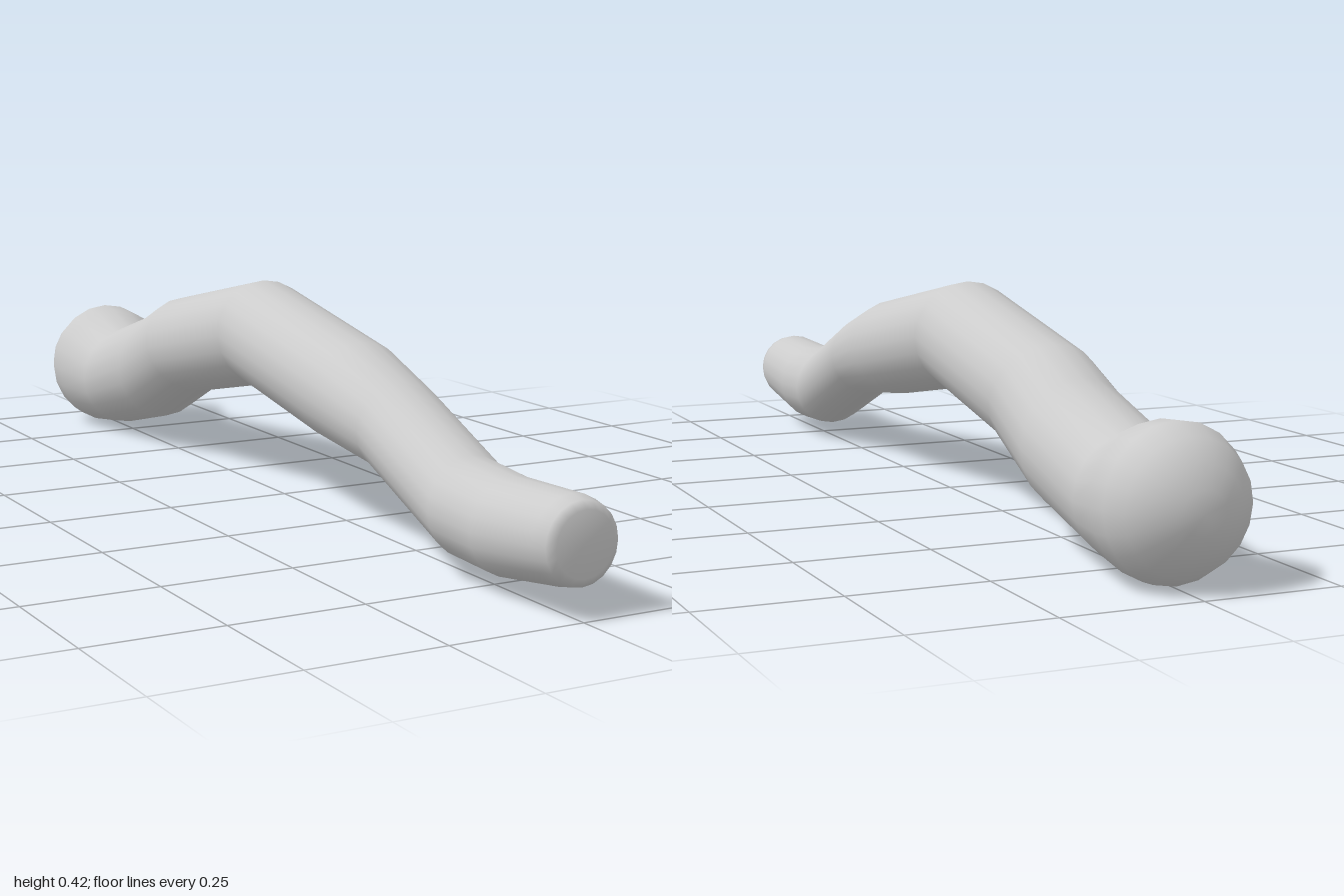
import * as THREE from 'three';

const SIDES = 20;

// Cross-sections from the front tip to the rear knob:
// [top z, top y, bottom z, bottom y, half width]
const SECTIONS = [
  [1.0, 0.13, 1.0, 0.13, 0],
  [1.0, 0.185, 1.0, 0.072, 0.056],
  [0.988, 0.198, 0.992, 0.057, 0.07],
  [0.96, 0.203, 0.965, 0.051, 0.077],
  [0.8, 0.198, 0.8, 0.027, 0.085],
  [0.67, 0.208, 0.687, 0.032, 0.09],
  [0.45, 0.301, 0.43, 0.136, 0.091],
  [0.3, 0.35, 0.238, 0.16, 0.107],
  [-0.088, 0.422, -0.072, 0.214, 0.108],
  [-0.468, 0.342, -0.382, 0.15, 0.108],
  [-0.57, 0.296, -0.565, 0.064, 0.112],
  [-0.767, 0.235, -0.767, 0.016, 0.113],
  [-0.853, 0.267, -0.875, 0.002, 0.131],
  [-0.906, 0.272, -0.91, 0.005, 0.131],
  [-0.95, 0.253, -0.948, 0.025, 0.115],
  [-0.98, 0.216, -0.98, 0.065, 0.08],
  [-0.995, 0.176, -0.995, 0.102, 0.04],
  [-1.0, 0.138, -1.0, 0.138, 0],
];

// Skins elliptical rings spanning each top/bottom pair
function loft(sections, sides) {
  const positions = [];
  const index = [];
  sections.forEach(([tz, ty, bz, by, w], i) => {
    for (let j = 0; j < sides; j++) {
      const a = (j / sides) * Math.PI * 2;
      const t = (1 + Math.cos(a)) / 2;
      positions.push(w * Math.sin(a), by + (ty - by) * t, bz + (tz - bz) * t);
      if (i === sections.length - 1) continue;
      const p = i * sides + j;
      const q = i * sides + ((j + 1) % sides);
      // Skip collapsed triangles at the two poles
      if (i > 0) index.push(p, q, p + sides);
      if (i < sections.length - 2) index.push(q, q + sides, p + sides);
    }
  });
  const geometry = new THREE.BufferGeometry();
  geometry.setAttribute('position', new THREE.Float32BufferAttribute(positions, 3));
  geometry.setIndex(index);
  geometry.computeVertexNormals();
  // Unused or collapsed pole corners share the axis direction
  const normals = geometry.attributes.normal;
  for (let j = 0; j < sides; j++) {
    normals.setXYZ(j, 0, 0, 1);
    normals.setXYZ(normals.count - 1 - j, 0, 0, -1);
  }
  return geometry;
}

export function createModel() {
  const group = new THREE.Group();
  group.name = 'curvedHandle';

  // Arched shaft running into the rounded end knob
  const shaft = new THREE.Mesh(
    loft(SECTIONS, SIDES),
    new THREE.MeshStandardMaterial({ color: 0xcccccc })
  );
  shaft.name = 'shaftWithKnob';
  group.add(shaft);

  return group;
}
